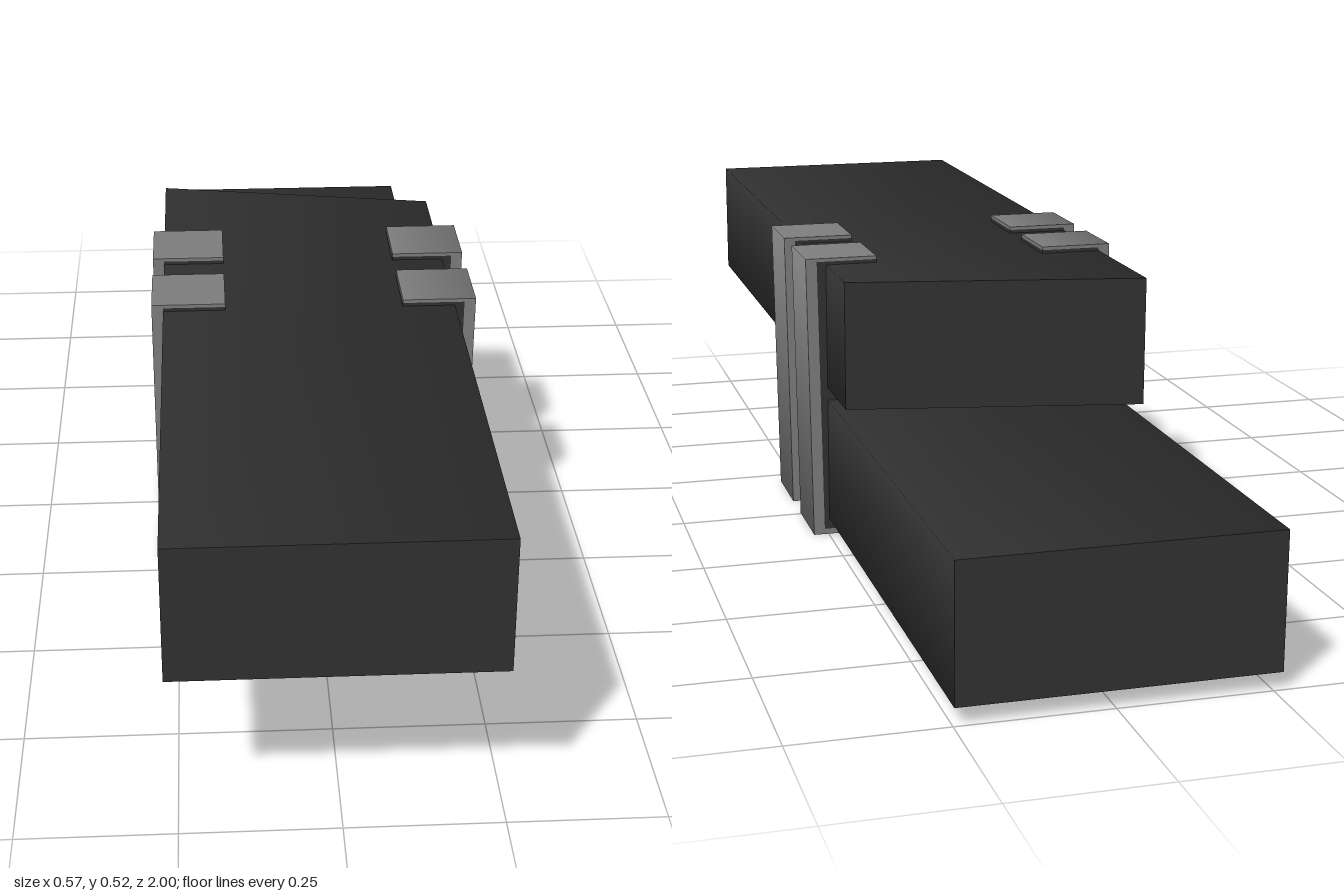
import * as THREE from 'three';

const H = 0.517; // overall clamp height

// Bend the lengthwise normals of chosen corners outward so the long edges shade smoothly
function softenEdges(geo, cornerNormal) {
  const p = geo.attributes.position, n = geo.attributes.normal;
  for (let i = 0; i < p.count; i++) {
    if (Math.abs(n.getZ(i)) > 0.05) continue;
    const c = cornerNormal(p.getX(i), p.getY(i));
    if (c) n.setXYZ(i, c[0] * Math.SQRT1_2, c[1] * Math.SQRT1_2, 0);
  }
  return geo;
}

// Bar with one square end and one end cut at a slant
function makeBar(y0, y1, cutSign) {
  const x0 = -0.265, x1 = 0.248;
  const geo = new THREE.BoxGeometry(1, 1, 1).toNonIndexed();
  const p = geo.attributes.position;
  for (let i = 0; i < p.count; i++) {
    const right = p.getX(i) > 0;
    const atCut = p.getZ(i) * cutSign > 0;
    const z = atCut ? cutSign * (right ? 0.28 : 0.378) : -cutSign;
    p.setXYZ(i, right ? x1 : x0, p.getY(i) > 0 ? y1 : y0, z);
  }
  geo.computeVertexNormals();
  const mx = (x0 + x1) / 2, my = (y0 + y1) / 2;
  return softenEdges(geo, (x, y) => [Math.sign(x - mx), Math.sign(y - my)]);
}

// Prism along z from a list of [inset, height] points
function makePrism(points, outer, side, z0, depth) {
  const shape = new THREE.Shape(points.map(([u, y]) => new THREE.Vector2(outer(y) - side * u, y)));
  const geo = new THREE.ExtrudeGeometry(shape, { depth, bevelEnabled: false });
  return geo.translate(0, 0, z0);
}

export function createModel() {
  const dark = new THREE.MeshStandardMaterial({ color: 0x303030 });
  dark.name = 'charcoal';
  const grey = new THREE.MeshStandardMaterial({ color: 0x7c7c7c });
  grey.name = 'steel grey';

  const model = new THREE.Group();
  model.name = 'clampedBars';
  const add = (parent, name, geo, mat) => {
    const mesh = new THREE.Mesh(geo, mat);
    mesh.name = name;
    parent.add(mesh);
  };

  // Two overlapping bars
  add(model, 'upperBar', makeBar(0.279, 0.505, -1), dark);
  add(model, 'lowerBar', makeBar(0.029, 0.255, 1), dark);

  // Two clamps on each side: a grey C-shaped shell around a dark core
  const w = 0.129, wall = 0.02, bottom = 0.01, top = H - 0.006;
  const shell = [[0, 0], [w, 0], [w, bottom], [wall, bottom], [wall, top], [w, top], [w, H], [0, H]];
  const core = [[wall, bottom], [w, bottom], [w, top], [wall, top]];
  for (const side of [-1, 1]) {
    // the left pair leans out slightly
    const outer = (y) => (side < 0 ? -0.285 : 0.277 + 0.015 * y);
    for (const z of [-0.126, 0.078]) {
      const clamp = new THREE.Group();
      clamp.name = (side < 0 ? 'right' : 'left') + (z < 0 ? 'Back' : 'Front') + 'Clamp';
      const geo = softenEdges(makePrism(shell, outer, side, z, 0.131), (x, y) => {
        const atCorner = Math.abs(x - outer(y)) < 1e-4;
        return atCorner ? [side, y > H / 2 ? 1 : -1] : null;
      });
      add(clamp, 'clampShell', geo, grey);
      add(clamp, 'clampCore', makePrism(core, outer, side, z, 0.131), dark);
      model.add(clamp);
    }
  }
  return model;
}
